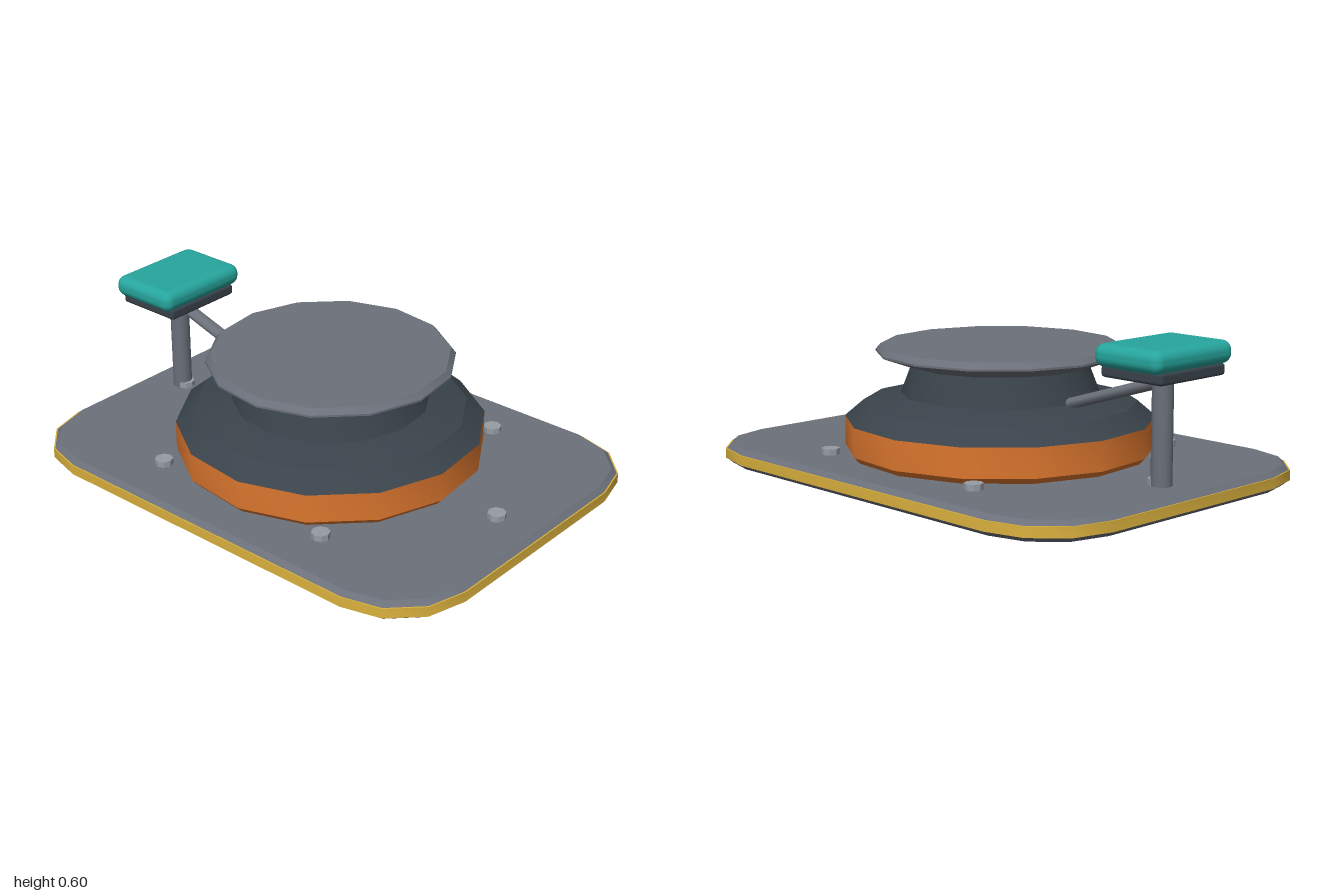
import * as THREE from 'three';
import { toCreasedNormals } from 'three/addons/utils/BufferGeometryUtils.js';
import { RoundedBoxGeometry } from 'three/addons/geometries/RoundedBoxGeometry.js';

const paint = (name, color) => new THREE.MeshStandardMaterial({ name, color });

// Rectangle with corners of three facets each
function plateShape(halfX, halfZ, radius) {
  const corners = [[1, 1, 0], [-1, 1, 1], [-1, -1, 2], [1, -1, 3]];
  const points = [];
  for (const [sx, sz, quarter] of corners) {
    for (let i = 0; i <= 3; i++) {
      const a = (quarter + i / 3) * Math.PI / 2;
      points.push(new THREE.Vector2(
        sx * (halfX - radius) + radius * Math.cos(a),
        sz * (halfZ - radius) + radius * Math.sin(a)));
    }
  }
  return new THREE.Shape(points);
}

// Fourteen-sided turned part from a [radius, y] profile
function turned(profile) {
  const sides = 14;
  const points = profile.map(([r, y]) => new THREE.Vector2(r, y));
  const lathe = new THREE.LatheGeometry(points, sides, 0.75 * Math.PI * 2 / sides);
  return toCreasedNormals(lathe, 0.47);
}

export function createModel() {
  const model = new THREE.Group();
  model.name = 'pedestal';

  const grey = paint('grey metal', 0x6b707a);
  const dark = paint('dark rubber', 0x3a434b);
  const orange = paint('orange', 0xdb762e);
  const yellow = paint('yellow', 0xdcb23e);
  const teal = paint('teal', 0x26a69e);
  const silver = paint('bolt silver', 0x969ca3);

  const add = (name, geometry, material, x = 0, y = 0, z = 0) => {
    const mesh = new THREE.Mesh(geometry, material);
    mesh.name = name;
    mesh.position.set(x, y, z);
    model.add(mesh);
    return mesh;
  };

  // Base plate with bevelled edges
  const plate = new THREE.ExtrudeGeometry(plateShape(0.725, 0.975, 0.288), {
    depth: 0.037, bevelEnabled: true, bevelThickness: 0.02, bevelSize: 0.022, bevelSegments: 1,
  });
  plate.rotateX(-Math.PI / 2);
  add('basePlate', toCreasedNormals(plate, 0.6), grey, 0, 0.02, 0);

  // Yellow band round the plate edge
  const band = new THREE.ExtrudeGeometry(plateShape(0.75, 1, 0.31), { depth: 0.04, bevelEnabled: false });
  band.rotateX(-Math.PI / 2);
  add('edgeBand', toCreasedNormals(band, 0.6), yellow, 0, 0.019, 0);

  // Drum, skirt with neck, and top disc
  add('drum', turned([[0.58, 0.07], [0.608, 0.1], [0.608, 0.215]]), orange);
  add('skirt', turned([[0.608, 0.215], [0.535, 0.277], [0.388, 0.31], [0.342, 0.43]]), dark);
  add('topDisc', turned([[0, 0.425], [0.365, 0.427], [0.485, 0.47], [0.485, 0.478], [0.466, 0.5], [0, 0.5]]), grey);

  // Bolts round the plate
  const boltSpots = [[0, 0.81], [0, -0.81]];
  for (const x of [-0.525, 0.525]) for (const z of [-0.405, 0.405]) boltSpots.push([x, z]);
  const boltGeometry = toCreasedNormals(new THREE.CylinderGeometry(0.036, 0.036, 0.03, 8), 0.3);
  for (const [x, z] of boltSpots) add('bolt', boltGeometry, silver, x, 0.086, z);

  // Post at the back and the sloping arm that braces it
  add('post', new THREE.CylinderGeometry(0.04, 0.04, 0.41, 12), grey, 0, 0.275, -0.83);
  const start = new THREE.Vector3(0, 0.305, -0.35);
  const end = new THREE.Vector3(0, 0.453, -0.82);
  const span = end.clone().sub(start);
  const arm = add('arm', new THREE.CylinderGeometry(0.03, 0.03, span.length(), 10), grey);
  arm.position.copy(start).lerp(end, 0.5);
  arm.rotation.x = Math.atan2(span.z, span.y);
  arm.scale.z = 0.72;

  // Pad on its mounting plate
  add('padMount', new RoundedBoxGeometry(0.35, 0.045, 0.285, 1, 0.012), dark, 0, 0.498, -0.83);
  add('pad', new RoundedBoxGeometry(0.425, 0.086, 0.308, 3, 0.038), teal, 0, 0.558, -0.83);

  return model;
}
